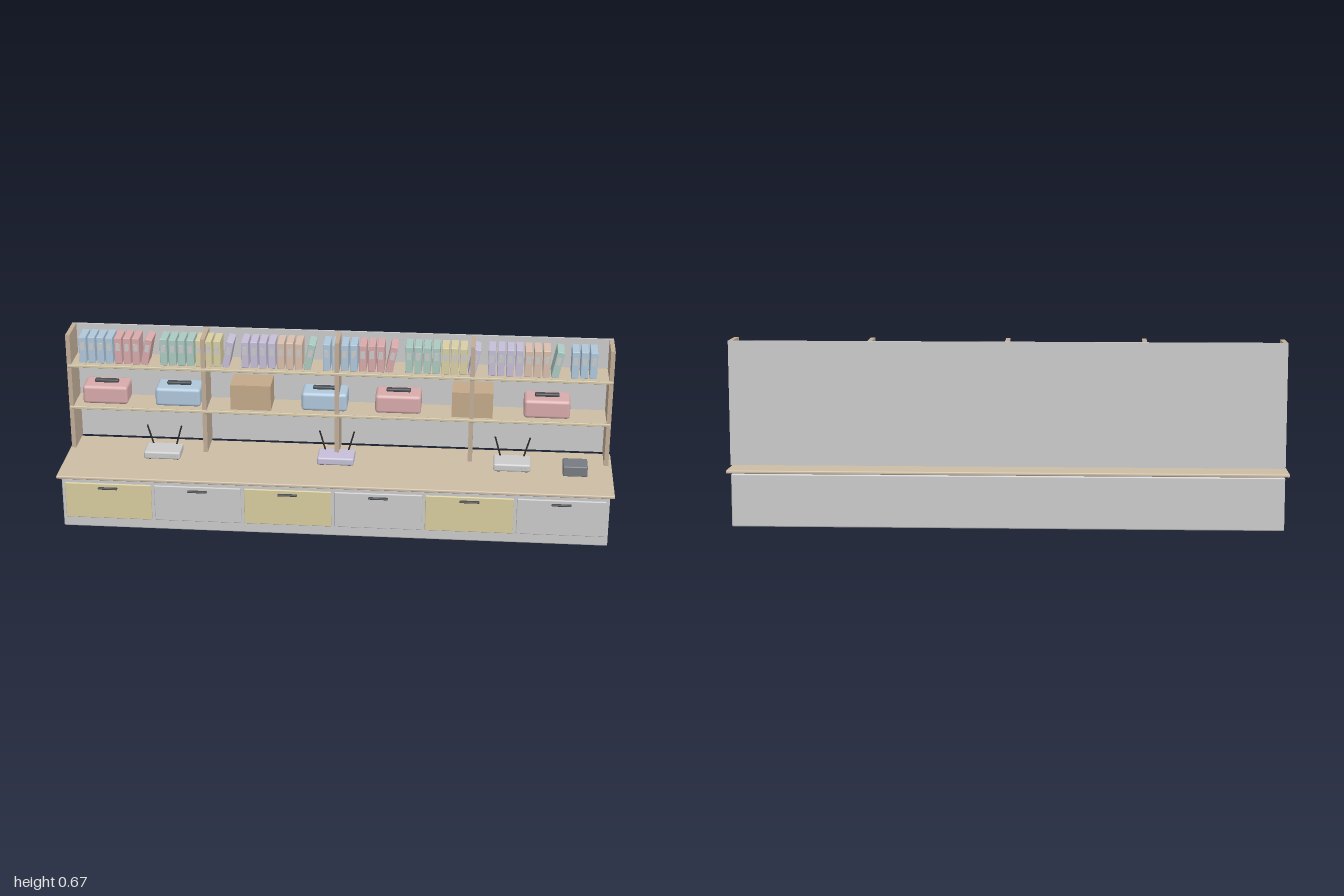
import * as THREE from 'three';
import { RoundedBoxGeometry } from 'three/addons/geometries/RoundedBoxGeometry.js';

const C = {
  grey: 0xd8d8d4, counter: 0xcdbda5, wood: 0xc2ae98, lip: 0xd2c6a6, sand: 0xd8cda0,
  dark: 0x4a4d50, slate: 0x777b81, black: 0x2a2a2a, card: 0xc4a98a,
  blue: 0xb0c8dc, pink: 0xd8abab, green: 0xaccbc2, yellow: 0xd9cfa4, lilac: 0xc6bfd8, peach: 0xd9bfae,
};
const materials = {};
const mat = (color) => (materials[color] ??= new THREE.MeshStandardMaterial({ color }));

// Box given by its centre and size; r > 0 rounds the edges
function box(parent, name, color, [x, y, z], [w, h, d], r = 0) {
  const geo = r ? new RoundedBoxGeometry(w, h, d, 2, r) : new THREE.BoxGeometry(w, h, d);
  const mesh = new THREE.Mesh(geo, mat(color));
  mesh.name = name;
  mesh.position.set(x, y, z);
  parent.add(mesh);
  return mesh;
}

function group(parent, name, x = 0, y = 0, z = 0) {
  const g = new THREE.Group();
  g.name = name;
  g.position.set(x, y, z);
  parent.add(g);
  return g;
}

// Base cabinet with six drawers under a long counter
function addCabinet(root) {
  const g = group(root, 'cabinet');
  box(g, 'plinth', C.black, [0, 0.005, 0], [1.92, 0.01, 0.264]);
  box(g, 'cabinetBody', C.grey, [0, 0.099, 0], [1.97, 0.192, 0.322], 0.005);
  box(g, 'counterTop', C.counter, [0, 0.2045, 0], [2, 0.012, 0.358], 0.004);
  for (let i = 0; i < 6; i++) {
    const x = (i - 2.5) * 0.326;
    box(g, 'drawerFront', i % 2 ? C.grey : C.sand, [x, 0.111, 0.162], [0.315, 0.138, 0.011], 0.003);
    box(g, 'drawerHandle', C.dark, [x, 0.164, 0.172], [0.07, 0.006, 0.012], 0.002);
  }
}

// Open shelving: back, uprights and two shelves with front lips
function addShelving(root) {
  const g = group(root, 'shelving');
  box(g, 'backPanel', C.grey, [0, 0.4505, -0.158], [1.97, 0.445, 0.008]);
  for (const x of [-0.977, -0.486, -0.002, 0.484, 0.977]) {
    box(g, 'upright', C.wood, [x, 0.4505, -0.0935], [0.016, 0.445, 0.121]);
  }
  for (const y of [0.391, 0.555]) {
    box(g, 'shelf', C.counter, [0, y, -0.0935], [1.95, 0.01, 0.121]);
    box(g, 'shelfLip', C.lip, [0, y, -0.03], [1.965, 0.01, 0.008], 0.002);
  }
}

function addBook(parent, color, x, lean = 0) {
  const g = group(parent, 'book', x, 0.56, -0.093);
  g.rotation.z = -lean;
  box(g, 'bookCover', color, [0, 0.05, 0], [0.026, 0.1, 0.086], 0.002);
  box(g, 'spineLabel', C.grey, [0, 0.065, 0.043], [0.015, 0.028, 0.002]);
}

// Rows of seven books, each ended by a leaning one
function addBooks(root) {
  const g = group(root, 'books');
  const sets = [
    { a: C.blue, b: C.pink, end: C.pink },
    { a: C.green, b: C.yellow, end: C.lilac },
    { a: C.lilac, b: C.peach, end: C.green },
  ];
  for (let s = 0; s < 7; s++) {
    const { a, b, end } = sets[s % 3];
    const x = -0.928 + s * 0.296;
    const count = s === 6 ? 3 : 7;
    for (let i = 0; i < count; i++) addBook(g, i < 4 ? a : b, x + i * 0.0325);
    if (count === 7) addBook(g, end, x + 0.224, 0.2);
  }
}

// Rounded carry case with a top handle and two latches
function addCase(parent, color, x) {
  const g = group(parent, 'carryCase', x, 0.396, -0.094);
  box(g, 'caseBody', color, [0, 0.04, 0], [0.166, 0.07, 0.1], 0.012);
  box(g, 'caseHandle', C.dark, [0, 0.08, 0], [0.088, 0.012, 0.02], 0.004);
}

function addStorage(root) {
  const g = group(root, 'storageBoxes');
  [C.pink, C.blue, null, C.blue, C.pink, null, C.pink].forEach((color, i) => {
    const x = -0.853 + i * 0.268;
    if (color) addCase(g, color, x);
    else box(g, 'cardboardBox', C.card, [x, 0.446, -0.096], [0.148, 0.096, 0.108]);
  });
}

// Flat router with two splayed antennae
function addRouter(root, color, x) {
  const g = group(root, 'router', x, 0.2145, -0.024);
  box(g, 'routerBody', color, [0, 0.0165, 0], [0.134, 0.029, 0.09], 0.007);
  for (const s of [-1, 1]) {
    const antenna = new THREE.Mesh(new THREE.CylinderGeometry(0.003, 0.003, 0.085, 10), mat(C.black));
    antenna.name = 'antenna';
    antenna.position.set(s * 0.052, 0.063, -0.034);
    antenna.rotation.z = -s * 0.27;
    g.add(antenna);
    box(g, 'foot', C.dark, [s * 0.05, 0, 0], [0.014, 0.008, 0.06]);
  }
  for (let i = 0; i < 3; i++) {
    box(g, 'statusLight', C.green, [0.02 + i * 0.014, 0.018, 0.0455], [0.006, 0.005, 0.003]);
  }
}

export function createModel() {
  const root = new THREE.Group();
  root.name = 'storageWorkbench';
  addCabinet(root);
  addShelving(root);
  addBooks(root);
  addStorage(root);
  addRouter(root, C.grey, -0.64);
  addRouter(root, C.lilac, -0.003);
  addRouter(root, C.grey, 0.637);
  box(root, 'smallBox', C.slate, [0.864, 0.2325, -0.003], [0.088, 0.039, 0.076], 0.004);
  return root;
}
